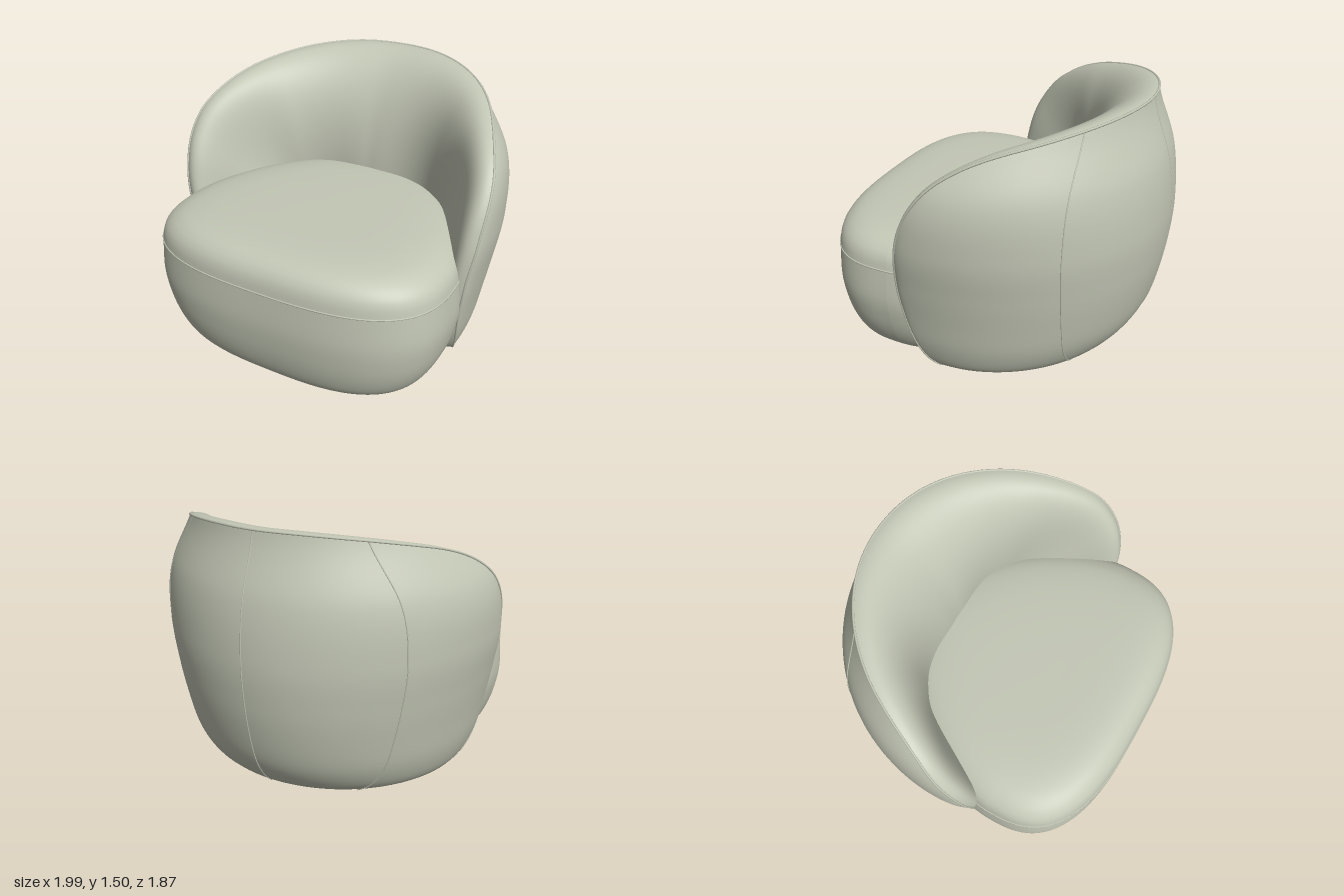
import * as THREE from 'three';

const RAD = Math.PI / 180;
const CENTRE_Z = 0.1;
const { lerp, smoothstep } = THREE.MathUtils;

// Smooth surface through a grid of points; point(u, v) runs across, then along the rows
function loft(name, cols, rows, point, material) {
  const pos = [], index = [];
  for (let j = 0; j <= rows; j++) {
    for (let i = 0; i <= cols; i++) pos.push(...point(i / cols, j / rows).toArray());
  }
  for (let j = 0; j < rows; j++) {
    for (let i = 0; i < cols; i++) {
      const a = j * (cols + 1) + i, b = a + 1, c = a + cols + 1, d = c + 1;
      index.push(a, c, b, b, c, d);
    }
  }
  const geo = new THREE.BufferGeometry();
  geo.setAttribute('position', new THREE.Float32BufferAttribute(pos, 3));
  geo.setIndex(index);
  geo.computeVertexNormals();
  const mesh = new THREE.Mesh(geo, material);
  mesh.name = name;
  return mesh;
}

function piping(name, points, radius, material, closed = false) {
  const curve = new THREE.CatmullRomCurve3(points, closed);
  const mesh = new THREE.Mesh(new THREE.TubeGeometry(curve, 200, radius, 6, closed), material);
  mesh.name = name;
  return mesh;
}

const sample = (n, fn) => Array.from({ length: n + 1 }, (_, i) => fn(i / n));
const spline = pts => new THREE.SplineCurve(pts.map(p => new THREE.Vector2(...p)));
const polar = (deg, r, y) =>
  new THREE.Vector3(r * Math.sin(deg * RAD), y, CENTRE_Z - r * Math.cos(deg * RAD));

// Depth and half width of the outer wrap, at heights 1.5 * (i / 8)^2
const wrapSize = spline([[0.76, 0.785], [0.805, 0.82], [0.87, 0.855], [0.935, 0.89], [0.983, 0.92],
  [1.02, 0.958], [1.035, 0.995], [1.0, 0.98], [0.89, 0.83]]);

// Rim as angle from the back and height, top centre down to the foot of the arm
const halfRim = [[0, 1.49], [20, 1.485], [40, 1.455], [58, 1.405], [70, 1.355], [80, 1.285],
  [88, 1.19], [94, 1.06], [98, 0.92], [100.5, 0.75], [101.5, 0.58], [101, 0.4], [99, 0.22],
  [95.5, 0.07], [90, 0]];
const rim = spline([...halfRim.slice(1).reverse().map(([a, y]) => [-a, y]), ...halfRim]);

// Outer wrap: u from arm to arm (-1..1), t from rim (0) to floor (1)
function outer(u, t) {
  const r = rim.getPoint((u + 1) / 2);
  const s = Math.abs(u);
  const angle = lerp(r.x, Math.sign(u) * 90 * (1 - (1 - s) ** 2), t) * RAD;
  const y = Math.max(0, r.y * (1 - t));
  const size = wrapSize.getPoint(Math.min(1, Math.sqrt(y / 1.5)));
  const roll = 1 - 0.025 * Math.exp(-12 * t) * Math.min(1, r.y * 1.5) * smoothstep(s, 0.05, 0.4);
  return new THREE.Vector3(size.y * roll * Math.sin(angle), y,
    CENTRE_Z - size.x * roll * Math.cos(angle));
}

// Padded inside: a curve from the rim down into the seat
function inner(u, t) {
  const r = rim.getPoint((u + 1) / 2);
  const start = outer(u, 0);
  const side = Math.sign(u), a = Math.abs(r.x);
  const k = smoothstep(a, 60, 100);
  const rimRadius = Math.hypot(start.x, start.z - CENTRE_Z);
  const endRadius = 0.44 + 0.175 * smoothstep(a, 5, 80);
  const lip = polar(side * (a + 8 * k), rimRadius - lerp(0.17, 0.1, k), r.y + 0.04 * (1 - k));
  const belly = polar(side * lerp(a, a * 0.77, 0.35), endRadius - 0.02 + 0.19 * k,
    Math.max(0.01, r.y - lerp(0.24, 0.1, k)));
  const end = polar(side * a * 0.77, endRadius, Math.max(0.01, Math.min(0.6, r.y * 0.75)));
  return new THREE.CubicBezierCurve3(start, lip, belly, end).getPoint(t);
}

// Seat outline: squarish front, back tapering into the wrap
function seatPoint(turn, scale, y) {
  const c = Math.cos(turn * 2 * Math.PI), s = Math.sin(turn * 2 * Math.PI);
  const p = s > 0 ? 2 / 2.8 : 2 / 1.7;
  return new THREE.Vector3(
    0.905 * scale * Math.sign(c) * Math.abs(c) ** p, y,
    0.38 + (s > 0 ? 0.555 : 1.05) * scale * Math.sign(s) * Math.abs(s) ** p);
}

export function createModel() {
  const fabric = new THREE.MeshStandardMaterial({ color: 0xc3c7b5 });
  fabric.name = 'sage fabric';

  const model = new THREE.Group();
  model.name = 'armchair';

  // Seat: upholstered base and domed cushion
  const seat = new THREE.Group();
  seat.name = 'seat';
  const baseProfile = spline([[0, 0.01], [0.4, 0.01], [0.7, 0.011], [0.78, 0.016], [0.84, 0.037],
    [0.895, 0.09], [0.945, 0.18], [0.98, 0.29], [1, 0.43], [0.985, 0.618]]);
  const cushionProfile = spline([[0.985, 0.618], [0.97, 0.675], [0.94, 0.72], [0.885, 0.758],
    [0.8, 0.787], [0.66, 0.805], [0.46, 0.813], [0.22, 0.815], [0, 0.815]]);
  const seatPart = (name, profile) => loft(name, 128, 48, (u, v) => {
    const p = profile.getPoint(v);
    return seatPoint(u, p.x, p.y);
  }, fabric);
  seat.add(
    seatPart('seatBase', baseProfile),
    seatPart('seatCushion', cushionProfile),
    piping('seatPiping', sample(95, t => seatPoint(t * 95 / 96, 0.985, 0.618)), 0.005, fabric, true));

  // Wraparound back and arms
  const back = new THREE.Group();
  back.name = 'wraparoundBack';
  back.add(
    loft('outerWrap', 192, 48, (u, v) => outer(2 * u - 1, 1 - v), fabric),
    loft('innerPad', 192, 30, (u, v) => inner(2 * u - 1, v), fabric),
    loft('backUnderside', 192, 2, (u, v) => {
      const edge = outer(2 * u - 1, 1);
      const inside = new THREE.Vector3(edge.x * 0.55, 0.02, lerp(CENTRE_Z, edge.z, 0.55));
      return inside.lerp(edge, v);
    }, fabric),
    piping('rimPiping', sample(96, t => {
      const p = outer(2 * t - 1, 0);
      return p.setY(Math.max(p.y, 0.008));
    }), 0.007, fabric));

  // Upright seams: one in the middle, one each side at a nearly constant depth
  const sideSeam = t => {
    const z = lerp(-0.59, -0.545, t);
    let lo = 0, hi = 0.7;
    for (let i = 0; i < 24; i++) {
      const mid = (lo + hi) / 2;
      if (outer(mid, t).z < z) lo = mid; else hi = mid;
    }
    return outer(lo, t);
  };
  const seamEnd = 0.99;
  back.add(piping('middleSeam', sample(40, t => outer(0, t * seamEnd)), 0.004, fabric));
  for (const side of [-1, 1]) {
    const points = sample(40, t => sideSeam(t * seamEnd));
    points.forEach(p => { p.x *= side; });
    back.add(piping(side > 0 ? 'leftSeam' : 'rightSeam', points, 0.004, fabric));
  }

  model.add(seat, back);
  return model;
}
